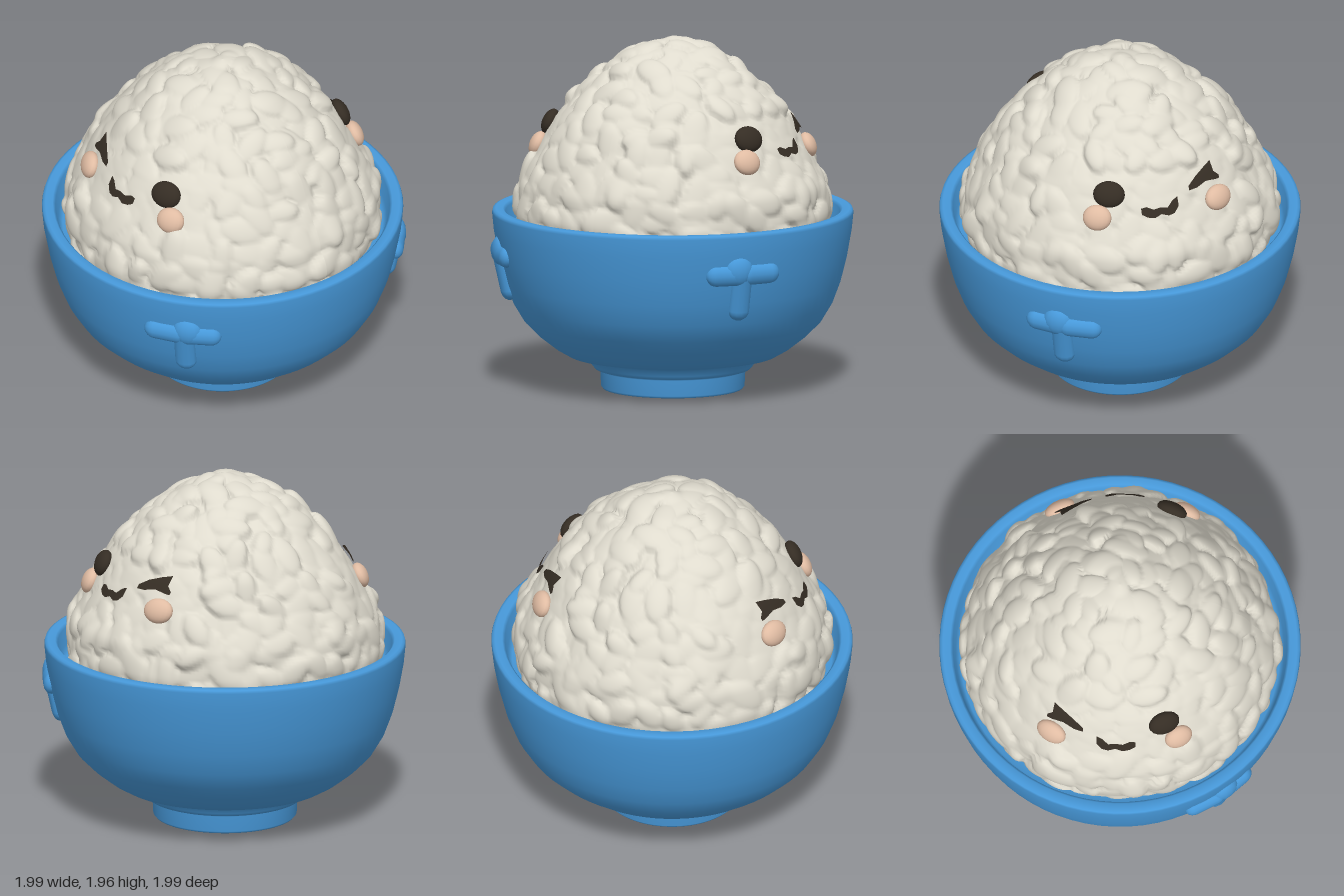
import * as THREE from 'three';

const V2 = (a) => a.map(([x, y]) => new THREE.Vector2(x, y));

// mound radius by height
const MOUND = [[0.85, 0.82], [1.0, 0.845], [1.15, 0.825], [1.25, 0.775], [1.4, 0.695], [1.5, 0.635],
  [1.6, 0.55], [1.7, 0.455], [1.8, 0.335], [1.88, 0.2], [1.92, 0]];
function moundRadius(y) {
  for (let i = 1; i < MOUND.length; i++) {
    const [y0, r0] = MOUND[i - 1], [y1, r1] = MOUND[i];
    if (y <= y1) return r0 + (r1 - r0) * (y - y0) / (y1 - y0);
  }
  return 0;
}

function seeded(seed) {
  return () => {
    seed = (seed * 1664525 + 1013904223) % 4294967296;
    return seed / 4294967296;
  };
}

// grains lie in jittered rings over the mound, each with a centre, long and short axis
function layGrains(outline) {
  const rnd = seeded(11), grains = [], rings = 16;
  for (let j = 0; j <= rings; j++) {
    const t = j / rings;
    const n = Math.max(1, Math.round(2 * Math.PI * outline.getPoint(t).x / 0.14));
    for (let i = 0; i < n; i++) {
      const tt = Math.min(0.995, Math.max(0, t + (rnd() - 0.5) * 0.04));
      const q = outline.getPoint(tt), tan = outline.getTangent(tt);
      const a = ((i + (j % 2) / 2 + (rnd() - 0.5) * 0.6) / n) * Math.PI * 2;
      const c = Math.cos(a), s = Math.sin(a), spin = rnd() * Math.PI;
      const center = new THREE.Vector3(q.x * c, q.y, q.x * s);
      const normal = new THREE.Vector3(tan.y * c, -tan.x, tan.y * s);
      const long = new THREE.Vector3(-s, 0, c).applyAxisAngle(normal, spin);
      const short = normal.clone().cross(long);
      // the two face areas stay nearly smooth
      const onFace = Math.abs(center.x) > 0.4 && Math.abs(center.z) < 0.47 && q.y > 1.27 && q.y < 1.57;
      const size = 0.85 + rnd() * 0.4;
      long.divideScalar(0.105 * size);
      short.divideScalar(0.065 * size);
      grains.push({ center, long, short, lift: onFace ? 0.015 : 0.008 + rnd() * 0.042,
        tilt: (rnd() - 0.5) * (onFace ? 0.4 : 1.2) });
    }
  }
  return grains;
}

export function createModel() {
  const model = new THREE.Group();
  const paint = (name, color, side = THREE.FrontSide) => {
    const m = new THREE.MeshStandardMaterial({ color, side });
    m.name = name;
    return m;
  };
  const blue = paint('bowlBlue', 0x4799da);
  const white = paint('riceWhite', 0xdfdbce);
  const dark = paint('faceDark', 0x352d24, THREE.DoubleSide);
  const blush = paint('cheekBlush', 0xe0bca3);
  const add = (name, geo, mat, parent = model) => {
    const mesh = new THREE.Mesh(geo, mat);
    mesh.name = name;
    parent.add(mesh);
    return mesh;
  };

  // bowl: foot, outer wall, rounded rim and the inner wall down to the rice
  add('bowl', new THREE.LatheGeometry(V2([
    [0, 0], [0.385, 0], [0.395, 0.012], [0.4, 0.1], [0.405, 0.108], [0.43, 0.112], [0.445, 0.13],
    [0.46, 0.165], [0.49, 0.175], [0.58, 0.19], [0.65, 0.23], [0.74, 0.3], [0.82, 0.38], [0.88, 0.48],
    [0.925, 0.6], [0.96, 0.74], [0.985, 0.88], [0.995, 0.98], [0.99, 0.997], [0.975, 1.003],
    [0.935, 1.0], [0.92, 0.985], [0.905, 0.9], [0.88, 0.865], [0.81, 0.855],
  ]), 72), blue);

  // raised ornaments on the two front corners of the bowl
  for (const s of [1, -1]) {
    const relief = new THREE.Group();
    relief.name = s > 0 ? 'leftRelief' : 'rightRelief';
    relief.rotation.y = s * Math.atan2(0.8, 0.6);
    for (const e of [1, -1]) {
      const arm = add('reliefArm', new THREE.CapsuleGeometry(0.058, 0.13, 5, 12), blue, relief);
      arm.position.set(e * 0.095, 0.77, 0.955);
      arm.rotation.set(0, e * 0.12, Math.PI / 2);
      arm.scale.z = 0.75;
    }
    const knob = add('reliefKnob', new THREE.SphereGeometry(0.085, 14, 10), blue, relief);
    knob.position.set(-s * 0.03, 0.79, 0.96);
    knob.scale.z = 0.6;
    const stem = add('reliefStem', new THREE.CapsuleGeometry(0.06, 0.18, 5, 12), blue, relief);
    stem.position.set(-s * 0.01, 0.655, 0.933);
    stem.rotation.x = 0.22;
    stem.scale.z = 0.75;
    model.add(relief);
  }

  // rice mound: one skin pushed out by the highest grain at each point
  const outline = new THREE.CurvePath();
  V2(MOUND.map(([y, r]) => [r, y])).forEach((pt, i, all) => {
    if (i) outline.add(new THREE.LineCurve(all[i - 1], pt));
  });
  const grains = layGrains(outline);
  const rice = new THREE.LatheGeometry(outline.getSpacedPoints(100), 260);
  const pos = rice.attributes.position;
  const v = new THREE.Vector3(), n = new THREE.Vector3(), d = new THREE.Vector3();
  for (let i = 0; i < pos.count; i++) {
    v.fromBufferAttribute(pos, i);
    n.fromBufferAttribute(rice.attributes.normal, i);
    if (Math.hypot(v.x, v.z) < 0.001) n.set(0, 1, 0);
    let h = 0;
    for (const g of grains) {
      d.subVectors(v, g.center);
      if (d.lengthSq() > 0.02) continue;
      const a = d.dot(g.long), b = d.dot(g.short), q = a * a + b * b;
      if (q < 1) h = Math.max(h, g.lift * Math.pow(1 - q, 0.35) * (1 + g.tilt * a));
    }
    v.addScaledVector(n, h);
    pos.setXYZ(i, v.x, v.y, v.z);
  }
  rice.computeVertexNormals();
  add('riceMound', rice, white);

  // thin patch hugging the mound; each section is [z, lowY, highY]
  function patch(sections, s, lift) {
    const rows = 6, points = [], idx = [];
    sections.forEach(([z, lo, hi], i) => {
      for (let k = 0; k <= rows; k++) {
        const y = lo + (hi - lo) * k / rows, r = moundRadius(y) + lift;
        points.push(s * Math.sqrt(r * r - z * z), y, z);
        if (i && k) {
          const b = i * (rows + 1) + k, a = b - rows - 1;
          idx.push(a - 1, b - 1, b, a - 1, b, a);
        }
      }
    });
    const g = new THREE.BufferGeometry();
    g.setAttribute('position', new THREE.Float32BufferAttribute(points, 3));
    // wind outward on either side
    if (s < 0) idx.reverse();
    g.setIndex(idx);
    g.computeVertexNormals();
    return g;
  }
  const wink = [[-0.18, 1.447, 1.468], [-0.23, 1.447, 1.5], [-0.29, 1.46, 1.522], [-0.34, 1.45, 1.535],
    [-0.35, 1.447, 1.485], [-0.38, 1.443, 1.458]];
  const mouth = [[0.11, 1.373, 1.403], [0.08, 1.357, 1.408], [0.04, 1.35, 1.392], [0, 1.365, 1.398],
    [-0.04, 1.352, 1.392], [-0.075, 1.358, 1.422], [-0.105, 1.388, 1.433]];

  // soft button pressed into the mound
  function button(name, mat, face, s, z, y, w, h, depth, pitch) {
    const r = moundRadius(y) + 0.025, x = s * Math.sqrt(r * r - z * z);
    const mesh = add(name, new THREE.SphereGeometry(1, 18, 12), mat, face);
    mesh.position.set(x, y, z);
    mesh.rotation.set(-pitch, Math.atan2(x, z), 0, 'YXZ');
    mesh.scale.set(w, h, depth);
  }

  // the same face on both sides
  for (const s of [1, -1]) {
    const face = new THREE.Group();
    face.name = s > 0 ? 'leftFace' : 'rightFace';
    button('openEye', dark, face, s, 0.265, 1.47, 0.088, 0.074, 0.045, 0.4);
    button('frontCheek', blush, face, s, 0.345, 1.355, 0.08, 0.072, 0.045, 0.4);
    button('backCheek', blush, face, s, -0.355, 1.355, 0.088, 0.07, 0.045, 0.4);
    add('winkingEye', patch(wink, s, 0.04), dark, face);
    add('mouth', patch(mouth, s, 0.034), dark, face);
    model.add(face);
  }
  return model;
}
